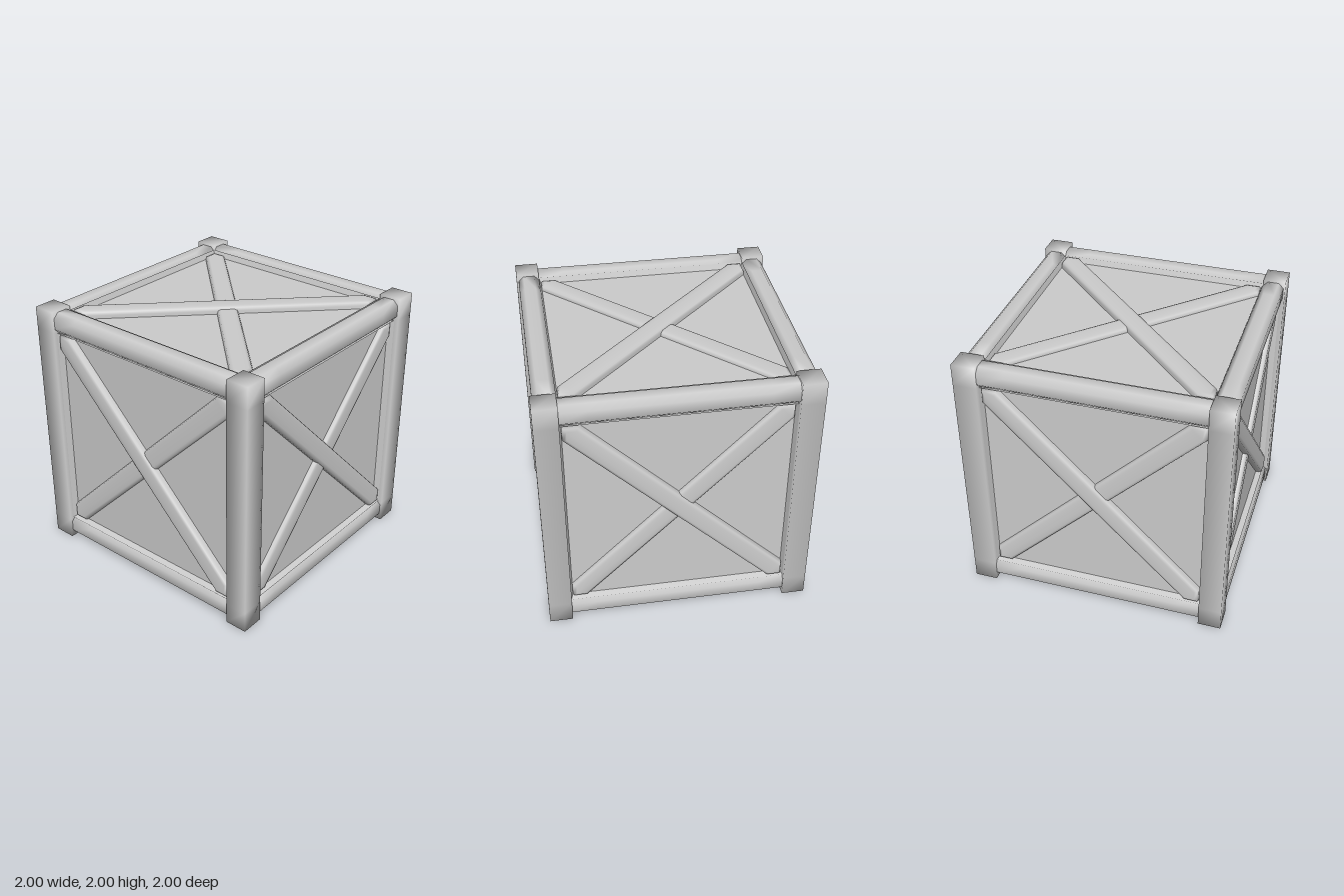
import * as THREE from 'three';
import { mergeVertices } from 'three/addons/utils/BufferGeometryUtils.js';

const grey = new THREE.MeshStandardMaterial({ color: 0xcccccc });
const flatGrey = new THREE.MeshStandardMaterial({ color: 0xcccccc, flatShading: true, side: THREE.DoubleSide });

// Share vertices so that the shading rolls softly over the edges
function soften(geometry) {
  geometry.deleteAttribute('uv');
  geometry.deleteAttribute('normal');
  const merged = mergeVertices(geometry, 1e-4);
  merged.computeVertexNormals();
  return merged;
}

function add(parent, name, geometry, material = grey) {
  const mesh = new THREE.Mesh(geometry, material);
  mesh.name = name;
  parent.add(mesh);
  return mesh;
}

// Rail with chamfered square section, running along x
function railGeometry(size, length, c) {
  const h = size / 2, k = h - c;
  const shape = new THREE.Shape([
    [h, -k], [h, k], [k, h], [-k, h], [-h, k], [-h, -k], [-k, -h], [k, -h],
  ].map(p => new THREE.Vector2(...p)));
  const g = new THREE.ExtrudeGeometry(shape, { depth: length, steps: 8, bevelEnabled: false });
  g.translate(0, 0, -length / 2).rotateY(Math.PI / 2);
  return soften(g);
}

// Diagonal plank from top left to bottom right, cut square into the corners
function braceGeometry(top) {
  const e = 0.81, n = 0.697, bevel = 0.03, base = 0.86;
  const shape = new THREE.Shape([
    [-e, n], [-e, e], [-n, e], [e, -n], [e, -e], [n, -e],
  ].reverse().map(p => new THREE.Vector2(...p)));
  const g = new THREE.ExtrudeGeometry(shape, {
    depth: top - base - bevel, bevelSize: bevel, bevelOffset: -bevel,
    bevelThickness: bevel, bevelSegments: 2,
  });
  g.translate(0, 0, base);
  return soften(g);
}

export function createModel() {
  const model = new THREE.Group();
  model.name = 'crate';
  const body = new THREE.Group();
  body.name = 'crateBody';
  body.position.y = 1;
  model.add(body);

  // Corner posts
  const postGeo = soften(new THREE.BoxGeometry(0.175, 2, 0.175, 1, 12, 1));
  for (const x of [-1, 1]) for (const z of [-1, 1]) {
    add(body, 'cornerPost', postGeo).position.set(x * 0.9125, 0, z * 0.9125);
  }

  // Horizontal rails between the posts, top and bottom
  const railGeo = railGeometry(0.165, 1.68, 0.04);
  for (let i = 0; i < 4; i++) {
    const side = new THREE.Group();
    side.name = 'railPair';
    side.rotation.y = i * Math.PI / 2;
    for (const y of [-1, 1]) add(side, 'rail', railGeo).position.set(0, y * 0.9025, 0.9025);
    body.add(side);
  }

  // One recessed panel with sloped rim and crossed braces per face
  const panelGeo = new THREE.PlaneGeometry(1.62, 1.62).translate(0, 0, 0.92);
  const rimGeo = new THREE.CylinderGeometry(0.825 * Math.SQRT2, 0.81 * Math.SQRT2, 0.046, 4, 1, true)
    .rotateY(Math.PI / 4).rotateX(Math.PI / 2).translate(0, 0, 0.943);
  const overGeo = braceGeometry(0.975);
  const underGeo = braceGeometry(0.955).rotateZ(Math.PI / 2);
  const q = Math.PI / 2;
  const faces = [[0, 0, 0], [0, q, 0], [0, 2 * q, 0], [0, -q, 0], [-q, 0, q], [q, 0, q]];
  for (const r of faces) {
    const face = new THREE.Group();
    face.name = 'crateFace';
    face.rotation.set(...r);
    add(face, 'panel', panelGeo, flatGrey);
    add(face, 'panelRim', rimGeo, flatGrey);
    add(face, 'upperBrace', overGeo);
    add(face, 'lowerBrace', underGeo);
    body.add(face);
  }
  return model;
}
